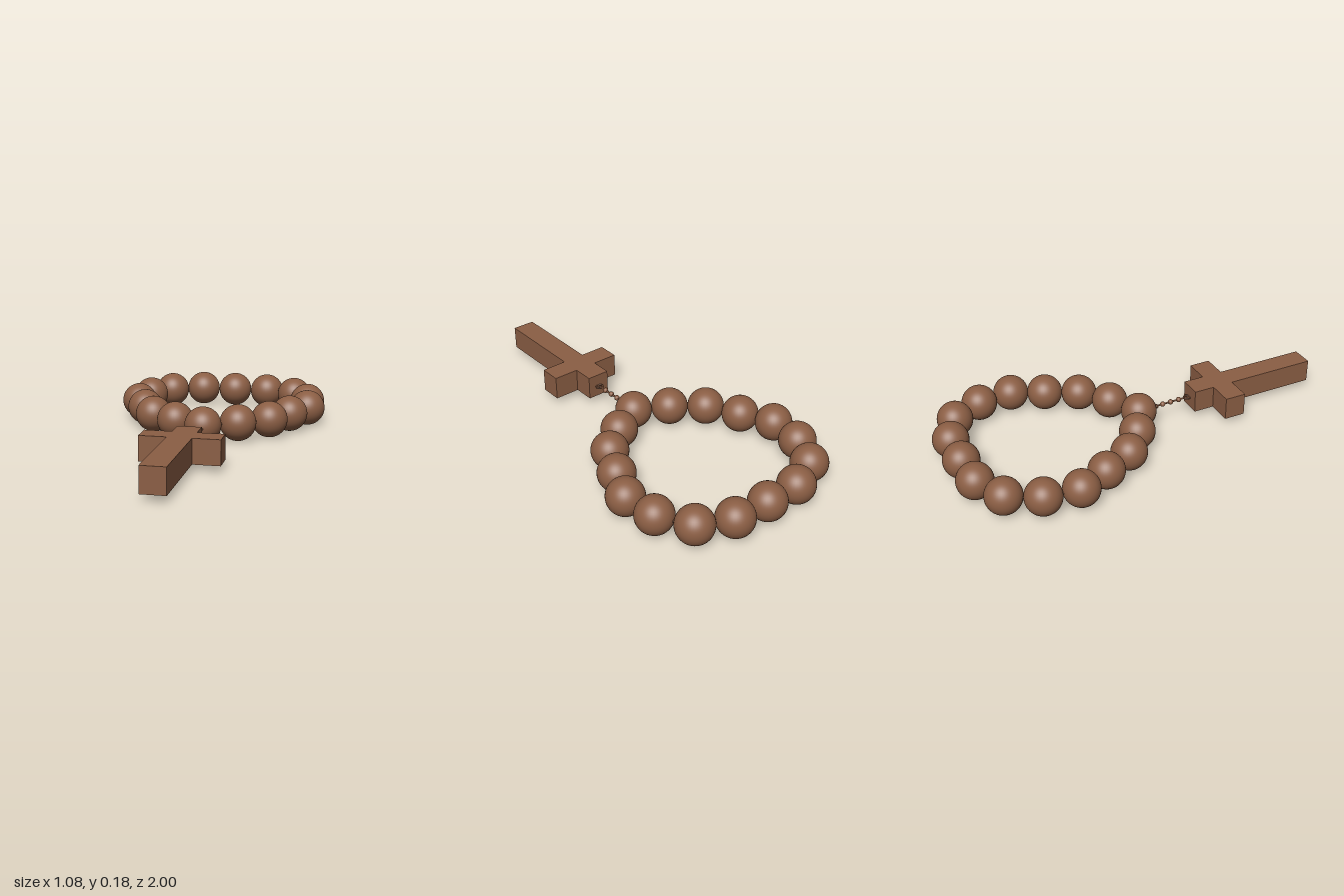
import * as THREE from 'three';

const wood = new THREE.MeshStandardMaterial({ color: 0x8b5e44 });
wood.name = 'brown wood';

const MID = 0.091; // height of the string

function add(parent, name, geometry, x, y, z) {
  const mesh = new THREE.Mesh(geometry, wood);
  mesh.name = name;
  mesh.position.set(x, y, z);
  parent.add(mesh);
  return mesh;
}

export function createModel() {
  const model = new THREE.Group();
  model.name = 'beadBracelet';

  // Loop of large beads, as x, z centres
  const centres = [
    [0.08, -0.91], [0.256, -0.88], [0.383, -0.75], [0.446, -0.583],
    [0.416, -0.41], [0.378, -0.236], [0.272, -0.093], [0.144, 0.034],
    [-0.03, -0.009], [-0.193, -0.082], [-0.315, -0.213], [-0.426, -0.347],
    [-0.452, -0.525], [-0.41, -0.7], [-0.272, -0.818], [-0.098, -0.87],
  ];
  const beads = new THREE.Group();
  beads.name = 'beads';
  model.add(beads);
  const beadGeometry = new THREE.SphereGeometry(0.09, 40, 28);
  for (const [x, z] of centres) add(beads, 'bead', beadGeometry, x, MID, z);

  // Cord threaded through the beads
  const path = new THREE.CatmullRomCurve3(centres.map(([x, z]) => new THREE.Vector3(x, MID, z)), true);
  add(model, 'cord', new THREE.TubeGeometry(path, 96, 0.006, 6, true), 0, 0, 0);

  // Short chain: wire, three small beads and a flat ring at each end
  const chain = new THREE.Group();
  chain.name = 'chain';
  model.add(chain);
  const start = new THREE.Vector3(0.165, MID, 0.12);
  const end = new THREE.Vector3(0.217, MID, 0.302);
  const wire = new THREE.LineCurve3(start, end);
  add(chain, 'wire', new THREE.TubeGeometry(wire, 1, 0.005, 6), 0, 0, 0);
  const smallBead = new THREE.SphereGeometry(0.0135, 16, 12);
  for (const t of [0.25, 0.49, 0.74]) {
    const p = wire.getPoint(t);
    add(chain, 'smallBead', smallBead, p.x, p.y, p.z);
  }
  const ring = new THREE.TorusGeometry(0.017, 0.004, 8, 24).rotateX(Math.PI / 2);
  for (const p of [start, end]) add(chain, 'ring', ring, p.x, p.y, p.z);

  // Cross pendant: one bevel-free extruded outline lying flat
  const top = -0.345, bottom = 0.345, halfShaft = 0.057, halfArm = 0.185;
  const armTop = -0.238, armBottom = -0.129;
  const half = [
    [halfShaft, top], [halfShaft, armTop], [halfArm, armTop],
    [halfArm, armBottom], [halfShaft, armBottom], [halfShaft, bottom],
  ];
  const outline = [...half, ...half.map(([x, z]) => [-x, z]).reverse()];
  const shape = new THREE.Shape(outline.map(([x, z]) => new THREE.Vector2(x, -z)));
  const crossGeometry = new THREE.ExtrudeGeometry(shape, { depth: 0.118, bevelEnabled: false });
  crossGeometry.translate(0, 0, -0.059).rotateX(-Math.PI / 2);
  const cross = add(model, 'cross', crossGeometry, 0.307, MID + 0.001, 0.65);
  cross.rotation.y = THREE.MathUtils.degToRad(15.1);

  return model;
}
